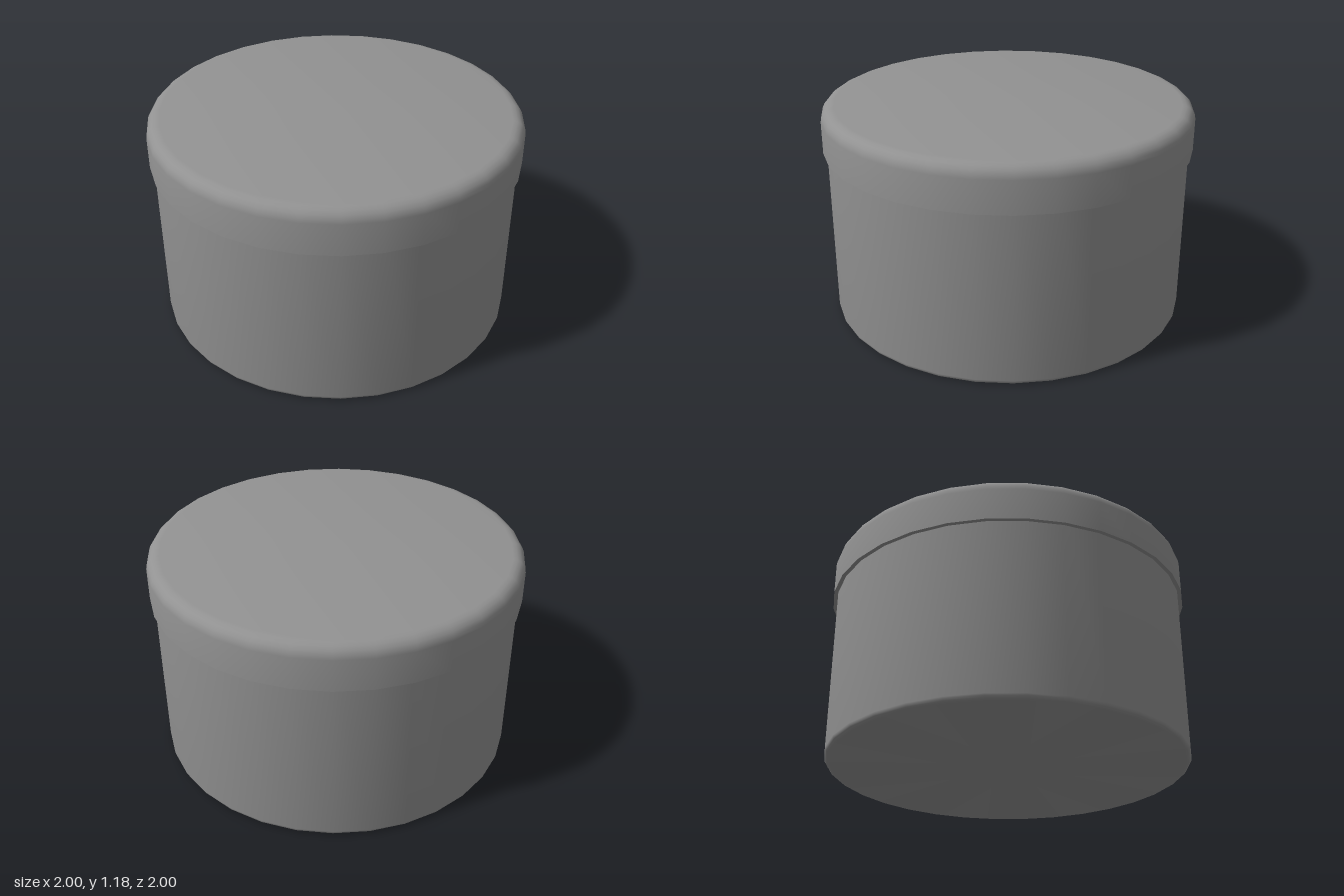
import * as THREE from 'three';
import { toCreasedNormals } from 'three/addons/utils/BufferGeometryUtils.js';

const SIDES = 32;
const HEIGHT = 1.18;
const material = new THREE.MeshStandardMaterial({ color: 0x929292 });

// Quarter-round profile points about (cx, cy), from angle a to b in degrees
function arc(cx, cy, r, a, b, steps = 4) {
  return Array.from({ length: steps + 1 }, (_, i) => {
    const t = THREE.MathUtils.degToRad(a + ((b - a) * i) / steps);
    return [cx + r * Math.cos(t), cy + r * Math.sin(t)];
  });
}

function turned(name, profile) {
  const points = profile.map(([x, y]) => new THREE.Vector2(x, y));
  const geometry = toCreasedNormals(new THREE.LatheGeometry(points, SIDES), Math.PI / 4);
  const mesh = new THREE.Mesh(geometry, material);
  mesh.name = name;
  return mesh;
}

export function createModel() {
  const group = new THREE.Group();
  group.name = 'roundBox';

  // Cup with a softened foot, its wall running up inside the lid
  group.add(turned('body', [
    [0, 0],
    ...arc(0.953, 0.025, 0.025, -90, 0),
    [0.978, 1.1],
    [0.95, 1.1], [0.95, 0.03], [0, 0.03],
  ]));

  // Slightly wider cap with a rounded shoulder and a square lower rim
  group.add(turned('lid', [
    [0, 1.15], [0.978, 1.1], [0.978, 0.937],
    [1, 0.937],
    ...arc(0.93, HEIGHT - 0.07, 0.07, 0, 90, 5),
    [0, HEIGHT],
  ]));

  return group;
}
